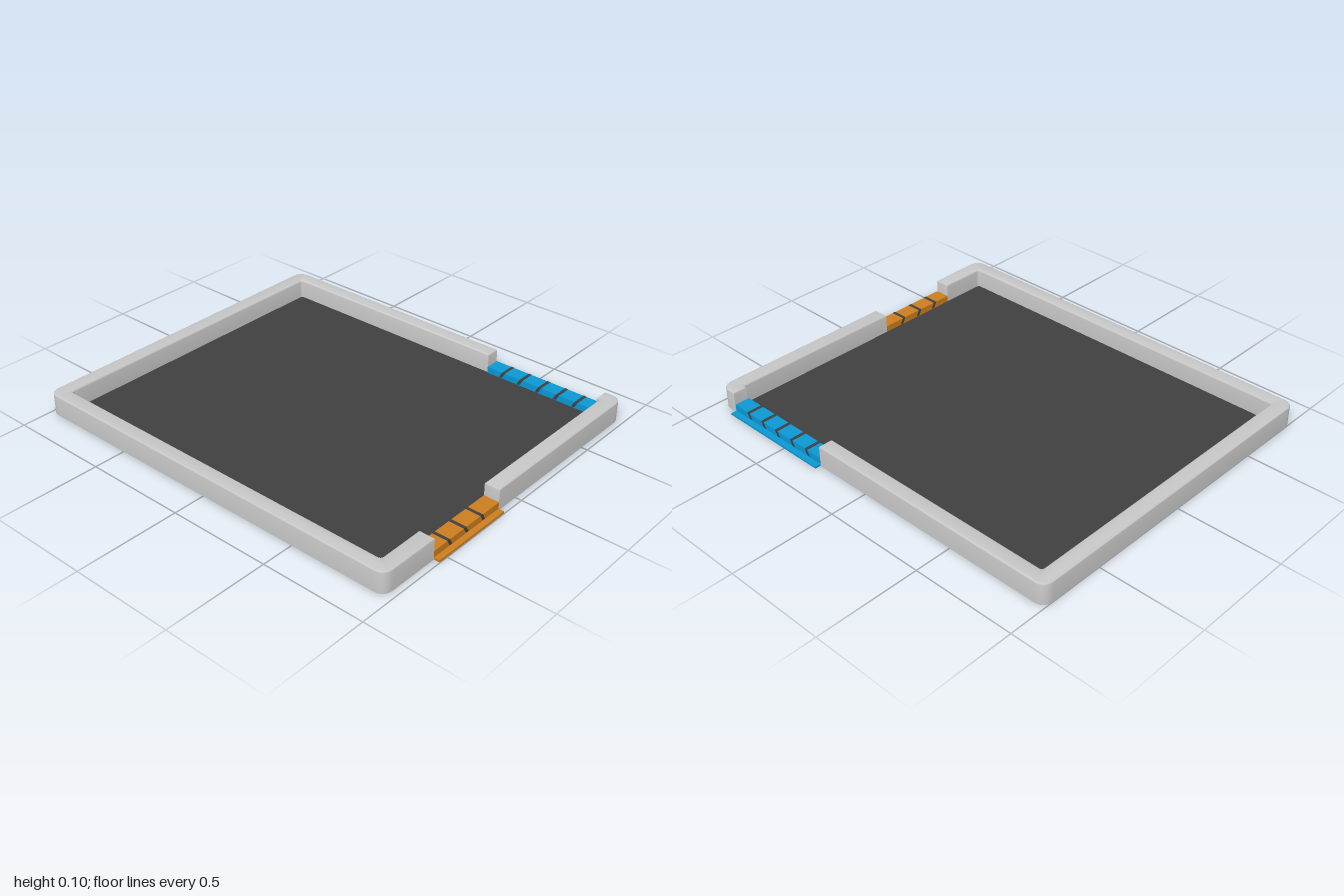
import * as THREE from 'three';
import { toCreasedNormals } from 'three/addons/utils/BufferGeometryUtils.js';

const X0 = -0.845, X1 = 0.82, Z0 = -1, Z1 = 0.97;      // outer edge of the frame
const IX0 = -0.775, IX1 = 0.75, IZ0 = -0.925, IZ1 = 0.895; // inner edge
const HEIGHT = 0.105, SHEET = 0.01, BLOCK = 0.041, BEVEL = 0.008;

const material = (name, color) => {
  const m = new THREE.MeshStandardMaterial({ color });
  m.name = name;
  return m;
};

// Closed outline from [x, z, cornerRadius] points (shape y is -z)
function outline(points) {
  const shape = new THREE.Shape();
  const v = points.map(([x, z]) => new THREE.Vector2(x, -z));
  points.forEach(([, , r = 0], i) => {
    const p = v[i], n = v.length;
    const toward = (q) => q.clone().sub(p).setLength(r).add(p);
    const a = toward(v[(i + n - 1) % n]), b = toward(v[(i + 1) % n]);
    if (i) shape.lineTo(a.x, a.y);
    else shape.moveTo(a.x, a.y);
    if (r) shape.quadraticCurveTo(p.x, p.y, b.x, b.y);
  });
  shape.closePath();
  return shape;
}

// Wall with a softened top edge and a flat base
function wallGeometry(points) {
  const geo = new THREE.ExtrudeGeometry(outline(points), {
    depth: HEIGHT - BEVEL, bevelEnabled: true, bevelThickness: BEVEL,
    bevelSize: BEVEL, bevelOffset: -BEVEL, bevelSegments: 3, curveSegments: 8,
  });
  geo.rotateX(-Math.PI / 2);
  const pos = geo.attributes.position;
  for (let i = 0; i < pos.count; i++) pos.setY(i, Math.max(0, pos.getY(i)));
  return toCreasedNormals(geo, 0.6);
}

export function createModel() {
  const model = new THREE.Group();
  model.name = 'tray';
  const grey = material('light grey', 0xc6c6c6);
  const dark = material('charcoal', 0x404040);
  const orange = material('orange', 0xcb7d1e);
  const blue = material('blue', 0x0a98d4);

  const add = (parent, name, geo, mat, x = 0, y = 0, z = 0) => {
    const mesh = new THREE.Mesh(geo, mat);
    mesh.name = name;
    mesh.position.set(x, y, z);
    parent.add(mesh);
  };

  // Floor panel
  add(model, 'floor', new THREE.BoxGeometry(IX1 - IX0, SHEET, IZ1 - IZ0), dark,
    (IX0 + IX1) / 2, SHEET / 2, (IZ0 + IZ1) / 2);

  // Frame, broken by one gap at the front and one on the left side
  const R = 0.055, r = 0.015;
  add(model, 'mainFrame', wallGeometry([
    [-0.545, Z1], [-0.545, IZ1], [IX0, IZ1, r], [IX0, IZ0, r], [IX1, IZ0, r],
    [IX1, 0.285], [X1, 0.285], [X1, Z0, R], [X0, Z0, R], [X0, Z1, R],
  ]), grey);
  add(model, 'cornerFrame', wallGeometry([
    [-0.12, Z1], [X1, Z1, R], [X1, 0.88], [IX1, 0.88], [IX1, IZ1, r], [-0.12, IZ1],
  ]), grey);

  // Low coloured strip along local x, facing +z, with slanted dark dividers
  function connector(name, length, mat, dividers) {
    const group = new THREE.Group();
    group.name = name;
    const depth = 0.075;
    add(group, 'strip', new THREE.BoxGeometry(length, BLOCK, depth), mat, 0, BLOCK / 2, depth / 2);
    add(group, 'lip', new THREE.BoxGeometry(length, SHEET, 0.028), mat, 0, SHEET / 2, depth + 0.014);
    const w = 0.008, top = BLOCK + 0.001, low = 0.013;
    const slant = new THREE.Shape([
      new THREE.Vector2(0.012 - w, low), new THREE.Vector2(0.012 + w, low),
      new THREE.Vector2(w - 0.004, top), new THREE.Vector2(-w - 0.004, top),
    ]);
    const bar = new THREE.ExtrudeGeometry(slant, { depth: depth + 0.002, bevelEnabled: false });
    dividers.forEach((x) => add(group, 'divider', bar, dark, x, 0, -0.001));
    model.add(group);
    return group;
  }

  const front = connector('frontConnector', 0.425, orange, [-0.118, -0.012, 0.098]);
  front.position.set(-0.3325, 0, IZ1);

  const side = connector('sideConnector', 0.59, blue, [-0.196, -0.096, 0.002, 0.106, 0.206]);
  side.rotation.y = Math.PI / 2;
  side.position.set(IX1 - 0.005, 0, 0.582);

  return model;
}
